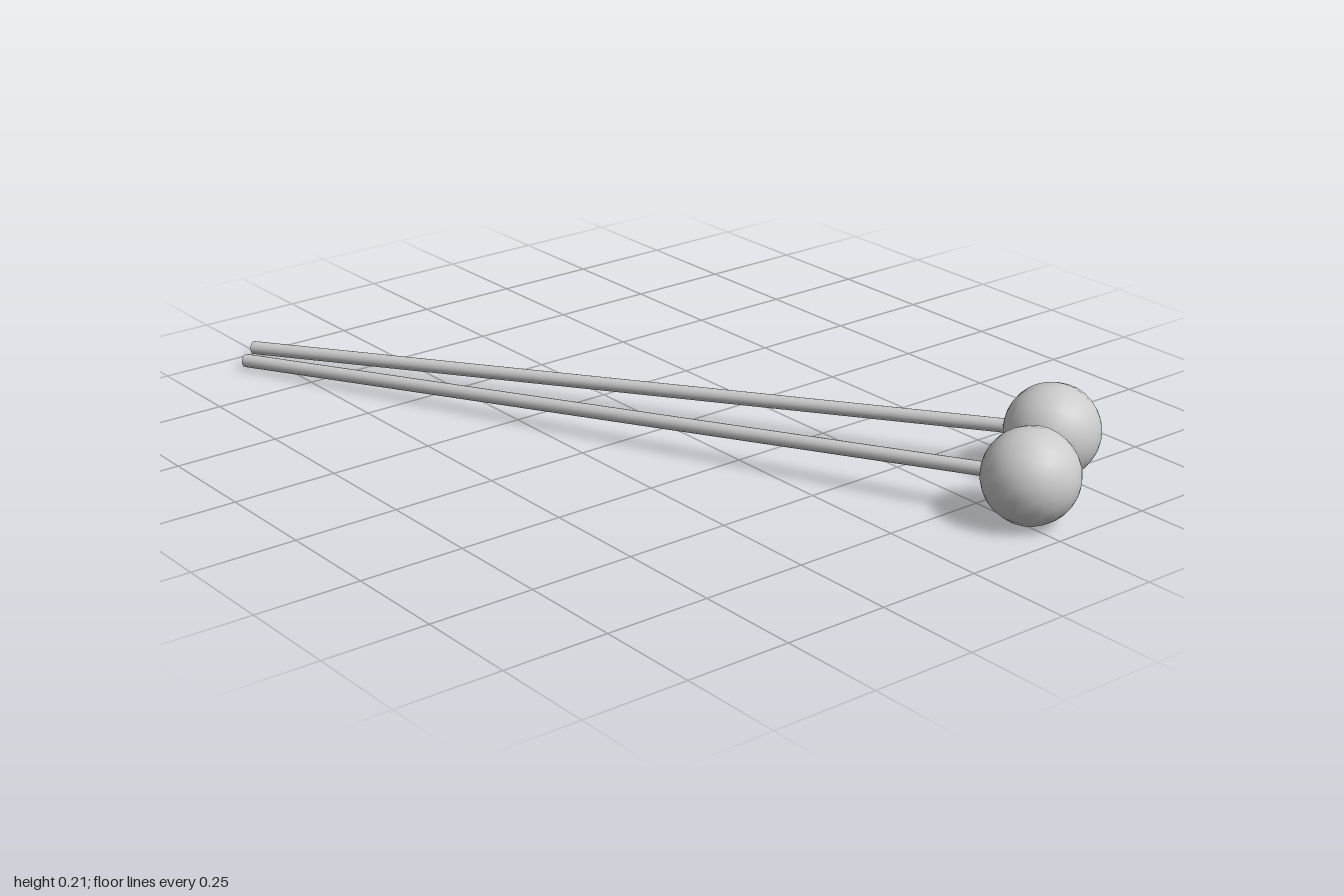
import * as THREE from 'three';

const HEAD_RADIUS = 0.108;
const STICK_RADIUS = 0.016;
const UP = new THREE.Vector3(0, 1, 0);

// One mallet: a thin round stick running from its tail into a ball head
function createMallet(name, tail, head, material) {
  const mallet = new THREE.Group();
  mallet.name = name;
  const along = head.clone().sub(tail);
  const length = along.length();
  mallet.position.copy(tail);
  mallet.quaternion.setFromUnitVectors(UP, along.normalize());

  const stickLength = length - HEAD_RADIUS * 0.5;
  const stick = new THREE.Mesh(
    new THREE.CylinderGeometry(STICK_RADIUS, STICK_RADIUS, stickLength, 16), material);
  stick.name = 'stick';
  stick.position.y = stickLength / 2;

  const ball = new THREE.Mesh(new THREE.SphereGeometry(HEAD_RADIUS, 20, 16), material);
  ball.name = 'head';
  ball.position.y = length;

  mallet.add(stick, ball);
  return mallet;
}

export function createModel() {
  const model = new THREE.Group();
  model.name = 'malletPair';
  const material = new THREE.MeshStandardMaterial({ color: 0xcccccc });

  // The pair lies on the ground, resting on heads and tails, fanned slightly apart
  model.add(
    createMallet('backMallet',
      new THREE.Vector3(-0.991, 0.021, 0.515), new THREE.Vector3(0.743, HEAD_RADIUS, -0.483), material),
    createMallet('frontMallet',
      new THREE.Vector3(-0.927, 0.021, 0.575), new THREE.Vector3(0.89, HEAD_RADIUS, -0.268), material),
  );
  return model;
}
